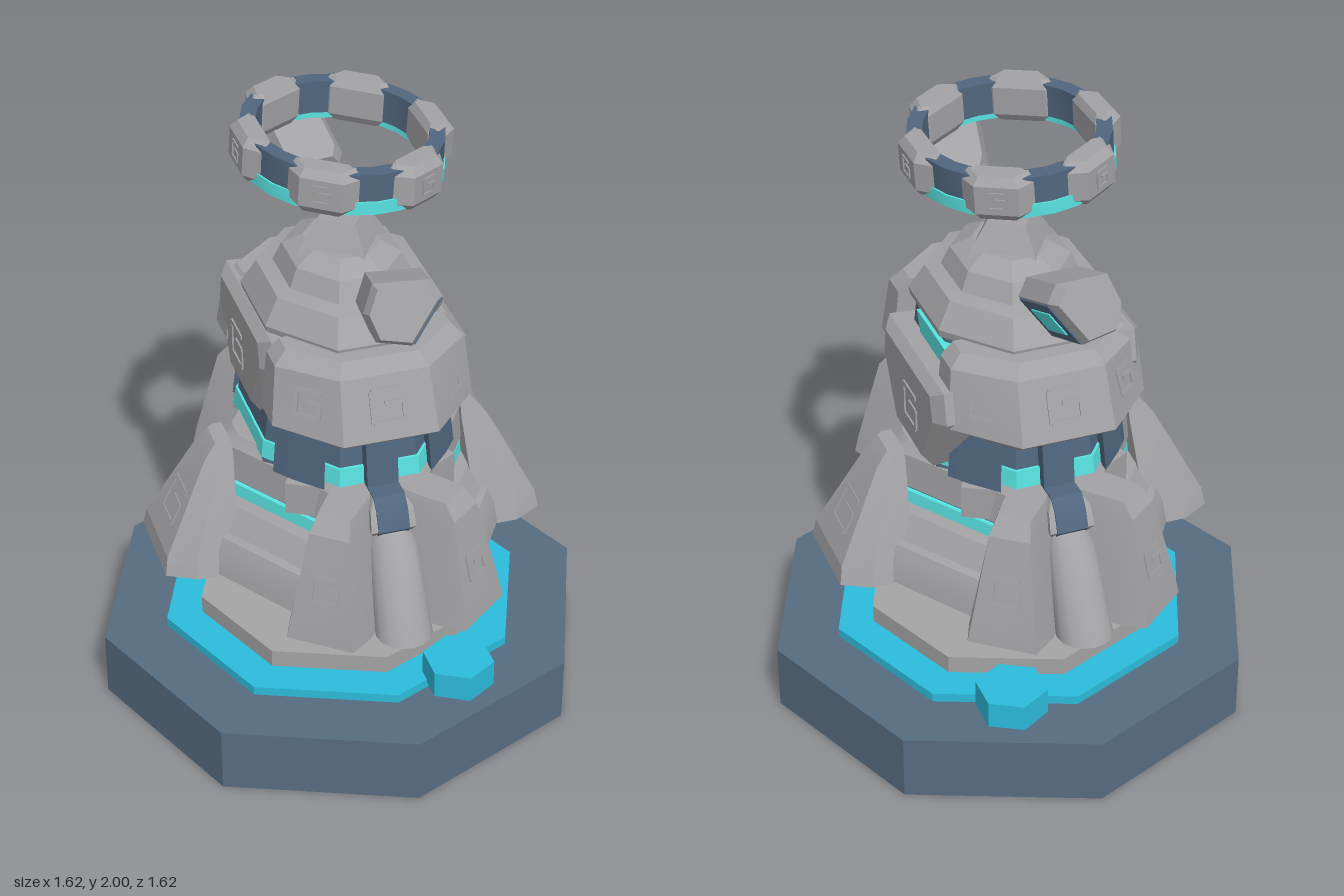
import * as THREE from 'three';
import { toCreasedNormals } from 'three/addons/utils/BufferGeometryUtils.js';

const mat = (name, color) => {
  const m = new THREE.MeshStandardMaterial({ color });
  m.name = name;
  return m;
};

// Closed solid through rings of [x, y, z] points, capped at both ends
function loft(rings, crease = 0.45) {
  const n = rings[0].length, pos = [];
  const tri = (a, b, c) => pos.push(...a, ...b, ...c);
  for (let k = 0; k < rings.length - 1; k++) {
    for (let i = 0; i < n; i++) {
      const j = (i + 1) % n, a = rings[k], b = rings[k + 1];
      tri(a[i], a[j], b[j]);
      tri(a[i], b[j], b[i]);
    }
  }
  const cap = (r, flip) => {
    const c = [0, 1, 2].map(d => r.reduce((s, p) => s + p[d], 0) / n);
    r.forEach((p, i) => (flip ? tri(c, r[(i + 1) % n], p) : tri(c, p, r[(i + 1) % n])));
  };
  cap(rings[0], true);
  cap(rings[rings.length - 1], false);
  // Turn the solid outside out if the rings ran the other way round
  let vol = 0;
  for (let i = 0; i < pos.length; i += 9) {
    const [a, b, c] = [0, 3, 6].map(o => new THREE.Vector3().fromArray(pos, i + o));
    vol += a.dot(b.cross(c));
  }
  if (vol < 0) {
    for (let i = 0; i < pos.length; i += 9) {
      for (let d = 0; d < 3; d++) [pos[i + 3 + d], pos[i + 6 + d]] = [pos[i + 6 + d], pos[i + 3 + d]];
    }
  }
  const g = new THREE.BufferGeometry();
  g.setAttribute('position', new THREE.Float32BufferAttribute(pos, 3));
  return toCreasedNormals(g, crease);
}

// Octagon with flat sides facing the axes
const oct = (y, rx, rz) => Array.from({ length: 8 }, (_, i) => {
  const a = (i + 0.5) * Math.PI / 4, k = 1 / Math.cos(Math.PI / 8);
  return [Math.sin(a) * rx * k, y, Math.cos(a) * rz * k];
});
// Stretched hexagon with blunted points on the x axis
const hex = (y, s) => [[0.22, 0.58], [0.56, 0.06], [0.56, -0.06], [0.22, -0.58], [-0.22, -0.58], [-0.56, -0.06], [-0.56, 0.06], [-0.22, 0.58]]
  .map(([x, z]) => [x * s, y, z * s]);

export function createModel() {
  const stone = mat('stone', 0xa2a2a5), disc = mat('paleStone', 0xa4a4a4);
  const slate = mat('slate', 0x50667e), baseSlate = mat('baseSlate', 0x566c80);
  const teal = mat('teal', 0x2cbcdc), glow = mat('glow', 0x58e2e0);
  const root = new THREE.Group();
  const add = (name, geo, material, x = 0, y = 0, z = 0, parent = root) => {
    const m = new THREE.Mesh(geo, material);
    m.name = name;
    m.position.set(x, y, z);
    parent.add(m);
    return m;
  };
  const group = (name, parent = root) => {
    const g = new THREE.Group();
    g.name = name;
    parent.add(g);
    return g;
  };
  const prism = (r, h, n = 8) => toCreasedNormals(new THREE.CylinderGeometry(r, r, h, n), 0.3);
  // Carved square spiral, lying on a local +z face
  const carving = (parent, x, y, z, s, tilt = 0, yaw = 0) => {
    const g = group('carving', parent);
    g.position.set(x, y, z);
    g.rotation.set(tilt, yaw, 0, 'YXZ');
    [[0, 0.5, 1, 0.14], [-0.5, 0, 0.14, 1], [0, -0.5, 1, 0.14], [0.5, -0.2, 0.14, 0.6], [0.2, 0.08, 0.6, 0.14]]
      .forEach(([u, v, w, h]) => add('groove', new THREE.BoxGeometry(w * s, h * s, 0.009), stone, u * s, v * s, 0, g));
  };

  // Base
  add('basePlinth', prism(0.81, 0.22), baseSlate, 0, 0.11, 0);
  add('baseTealStep', prism(0.6, 0.03), teal, 0, 0.235, 0);
  add('baseStoneStep', prism(0.48, 0.06), disc, 0, 0.28, 0);
  for (const s of [1, -1]) add('basePeg', prism(0.115, 0.09, 6), teal, 0.21, 0.285, 0.567 * s);

  // Floating tower: skirt, glowing gap, upper wall
  add('towerUnderside', loft([hex(0.54, 0.95), hex(0.56, 0.95)]), slate);
  add('skirt', loft([hex(0.545, 1), hex(0.61, 0.97), hex(0.66, 0.92), hex(0.67, 0.88), hex(0.74, 0.78), hex(0.75, 0.7)]), stone);
  add('skirtGlow', loft([hex(0.74, 0.71), hex(0.79, 0.7)]), glow);
  add('skirtGap', loft([hex(0.78, 0.67), hex(0.82, 0.67)]), slate);
  add('upperWall', loft([hex(0.81, 0.71), hex(0.92, 0.69), hex(0.95, 0.63)]), stone);
  for (const turn of [1, 5, 7, 11]) {
    const a = turn * Math.PI / 6;
    const b = add('wallBlock', new THREE.BoxGeometry(0.2, 0.11, 0.03), stone, Math.sin(a) * 0.365, 0.87, Math.cos(a) * 0.39);
    b.rotation.y = a;
  }

  // Buttresses: leaning blocks with a flat outer face
  const buttress = (x, z, yaw, half, halfTop, flare, top, inner) => {
    const g = group('buttress');
    g.position.set(x, 0, z);
    g.rotation.y = yaw;
    const ring = (y, out, h, fl, inn) => [[-h - fl, y, inn], [-h - fl, y, out - (out - inn) * 0.4],
      [-h, y, out], [h, y, out], [h + fl, y, out - (out - inn) * 0.4], [h + fl, y, inn]];
    add('buttressBody', loft([ring(0.54, 0.63, half, flare, 0.4), ring(0.6, 0.62, half * 0.92, flare * 0.9, 0.4),
      ring(0.89, top + 0.01, halfTop, flare * 0.4, inner), ring(0.94, top - 0.03, halfTop * 0.8, flare * 0.3, inner)], 0.3), stone, 0, 0, 0, g);
    carving(g, 0, 0.72, 0.62 + (top - 0.61) * 0.12 / 0.29, half * 0.75, -Math.atan((0.61 - top) / 0.29));
  };
  for (const s of [1, -1]) {
    buttress(0, 0, s * Math.PI / 2, 0.15, 0.06, 0.05, 0.46, 0.38);
    for (const f of [1, -1]) {
      buttress(-0.125 * s, 0.137 * f, Math.atan2(0.62 * s, 0.78 * f), 0.11, 0.065, 0.025, 0.54, 0.3);
    }
  }

  // Rounded legs, knobs and dark posts at front and back
  for (const f of [1, -1]) {
    const round = (y, z, r) => Array.from({ length: 16 }, (_, i) => {
      const a = i * Math.PI / 8;
      return [Math.sin(a) * r, y, f * (z + Math.cos(a) * r)];
    });
    add('leg', loft([round(0.54, 0.64, 0.09), round(0.8, 0.52, 0.075), round(0.84, 0.49, 0.055)], 0.7), stone);
    const sq = (y, h, z1) => [[-h, 0.3], [-h, z1], [h, z1], [h, 0.3]].map(([x, z]) => [x, y, f * z]);
    add('legKnob', loft([sq(0.82, 0.06, 0.51), sq(0.85, 0.072, 0.535), sq(0.91, 0.068, 0.51), sq(0.94, 0.05, 0.48)]), stone);
    add('knobPanel', loft([sq(0.83, 0.05, 0.525), sq(0.85, 0.05, 0.54), sq(0.91, 0.05, 0.515), sq(0.945, 0.05, 0.483)]), slate);
    add('post', loft([sq(0.9, 0.05, 0.43), sq(1.14, 0.05, 0.4)]), slate);
  }

  // Tower body with glowing band, dark corners and a window
  add('body', loft([oct(0.9, 0.31, 0.39), oct(1.14, 0.28, 0.355), oct(1.4, 0.26, 0.31)]), slate);
  add('bodyGlow', loft([oct(0.94, 0.312, 0.392), oct(1.0, 0.305, 0.385)]), glow);
  for (const s of [1, -1]) {
    for (const f of [1, -1]) {
      const corner = (y, k) => [[0.17, 0.2], [0.17, 0.37], [0.245, 0.29], [0.29, 0.23], [0.25, 0.2]]
        .map(([x, z]) => [x * s * k, y, z * f * k]);
      add('bodyCorner', loft([corner(0.93, 1.02), corner(1.16, 0.94)]), slate);
    }
  }
  const pane = (y, z0, z1) => [[0.2, z0], [0.28, z0], [0.28, z1], [0.2, z1]].map(([x, z]) => [x, y, z]);
  add('sideWindow', loft([pane(1.285, -0.22, 0.05), pane(1.35, -0.26, 0.08)]), glow);

  // Front and back armour
  for (const f of [1, -1]) {
    const ring = (y, w, c, zo, zs) => [[-w, 0.2], [-w, zs], [-c, zo], [c, zo], [w, zs], [w, 0.2]].map(([x, z]) => [x, y, z * f]);
    add('armour', loft([ring(1.1, 0.24, 0.13, 0.42, 0.28), ring(1.16, 0.32, 0.15, 0.5, 0.32),
      ring(1.35, 0.3, 0.14, 0.43, 0.29), ring(1.39, 0.26, 0.12, 0.39, 0.27)], 0.3), stone);
    const yaw = f > 0 ? 0 : Math.PI;
    carving(root, 0, 1.26, 0.463 * f, 0.1, -0.35, yaw);
    for (const s of [1, -1]) carving(root, 0.225 * s, 1.26, 0.385 * f, 0.08, -0.27, yaw + 0.75 * s * f);
  }

  // Side armour: dropped low on the left flank, raised on the right
  const sideArmour = (s, lift, out) => {
    const plate = (x, k) => [[1.28, 0.2], [1.18, 0.22], [0.955, 0.09], [0.955, -0.2], [1.18, -0.335], [1.28, -0.31]]
      .map(([y, z]) => [x * s, 1.13 + lift + (y - 1.13) * k, -0.06 + (z + 0.06) * k]);
    add('sideArmour', loft([plate(out - 0.12, 0.98), plate(out - 0.03, 1), plate(out, 0.82)], 0.3), stone);
    carving(root, (out + 0.001) * s, 1.11 + lift, -0.08, 0.11, 0, s * Math.PI / 2);
  };
  sideArmour(1, 0, 0.36);
  sideArmour(-1, 0.1, 0.315);

  // Stepped cap with a turned square peak
  const cap = [[1.375, 0.335], [1.4, 0.34], [1.48, 0.285], [1.49, 0.23], [1.55, 0.2], [1.585, 0.13]];
  add('cap', loft(cap.map(([y, r]) => oct(y, r * 0.84, r)), 0.3), stone);
  const peak = (y, r) => [0, 1, 2, 3].map(i => {
    const a = 0.2 + i * Math.PI / 2;
    return [Math.sin(a) * r, y, Math.cos(a) * r];
  });
  add('peak', loft([peak(1.54, 0.17), peak(1.6, 0.135), peak(1.67, 0.085)], 0.3), stone);

  // Floating blocks with a glowing underside
  for (const f of [1, -1]) {
    const g = group('floatingBlock');
    g.position.set(0, 1.638, 0.517 * f);
    g.rotation.set(-0.36, f > 0 ? -0.2 : Math.PI + 0.1, 0, 'YXZ');
    const ring = (z, k) => [[-0.075, 0.085], [0.09, 0.09], [0.125, 0.04], [0.035, -0.1], [-0.07, -0.085], [-0.105, 0]]
      .map(([x, y]) => [x * f * k, y * k, z]);
    add('blockBody', loft([ring(-0.135, 0.82), ring(-0.1, 1), ring(0.095, 1), ring(0.13, 0.85)], 0.3), stone, 0, 0, 0, g);
    const face = (name, material, h, l, d) => {
      const m = add(name, new THREE.BoxGeometry(0.008, h, l), material, f * (0.08 + 0.841 * d), -0.03 - 0.541 * d, 0, g);
      m.rotation.z = -0.571 * f;
    };
    face('blockPanel', slate, 0.155, 0.19, 0.001);
    face('blockGlow', glow, 0.085, 0.12, 0.005);
  }

  // Floating halo: dark band, glowing lower rim, six stone blocks
  const halo = group('halo');
  halo.position.y = 1.913;
  halo.rotation.z = -0.06;
  halo.scale.set(0.95, 1, 1.07);
  const band = (r0, r1, y0, y1) => toCreasedNormals(new THREE.LatheGeometry(
    [[r1, y0], [r1, y1], [r0, y1], [r0, y0], [r1, y0]].map(p => new THREE.Vector2(...p)), 24), 0.3);
  add('haloBand', band(0.27, 0.32, -0.045, 0.06), slate, 0, 0, 0, halo);
  add('haloGlow', band(0.275, 0.326, -0.065, -0.025), glow, 0, 0, 0, halo);
  for (let i = 0; i < 6; i++) {
    const g = group('haloBlock', halo);
    g.rotation.y = Math.PI / 2 + i * Math.PI / 3;
    const ring = (y, h, a, b) => [[-h * 0.75, a], [-h, a + 0.02], [-h, b - 0.05], [-h * 0.6, b], [h * 0.6, b], [h, b - 0.05], [h, a + 0.02], [h * 0.75, a]]
      .map(([x, z]) => [x, y, z]);
    add('haloStone', loft([ring(-0.07, 0.09, 0.265, 0.325), ring(-0.045, 0.112, 0.25, 0.345),
      ring(0.045, 0.112, 0.25, 0.345), ring(0.07, 0.09, 0.265, 0.325)], 0.3), stone, 0, 0, 0, g);
    carving(g, 0, 0, 0.345, 0.05);
  }
  return root;
}
